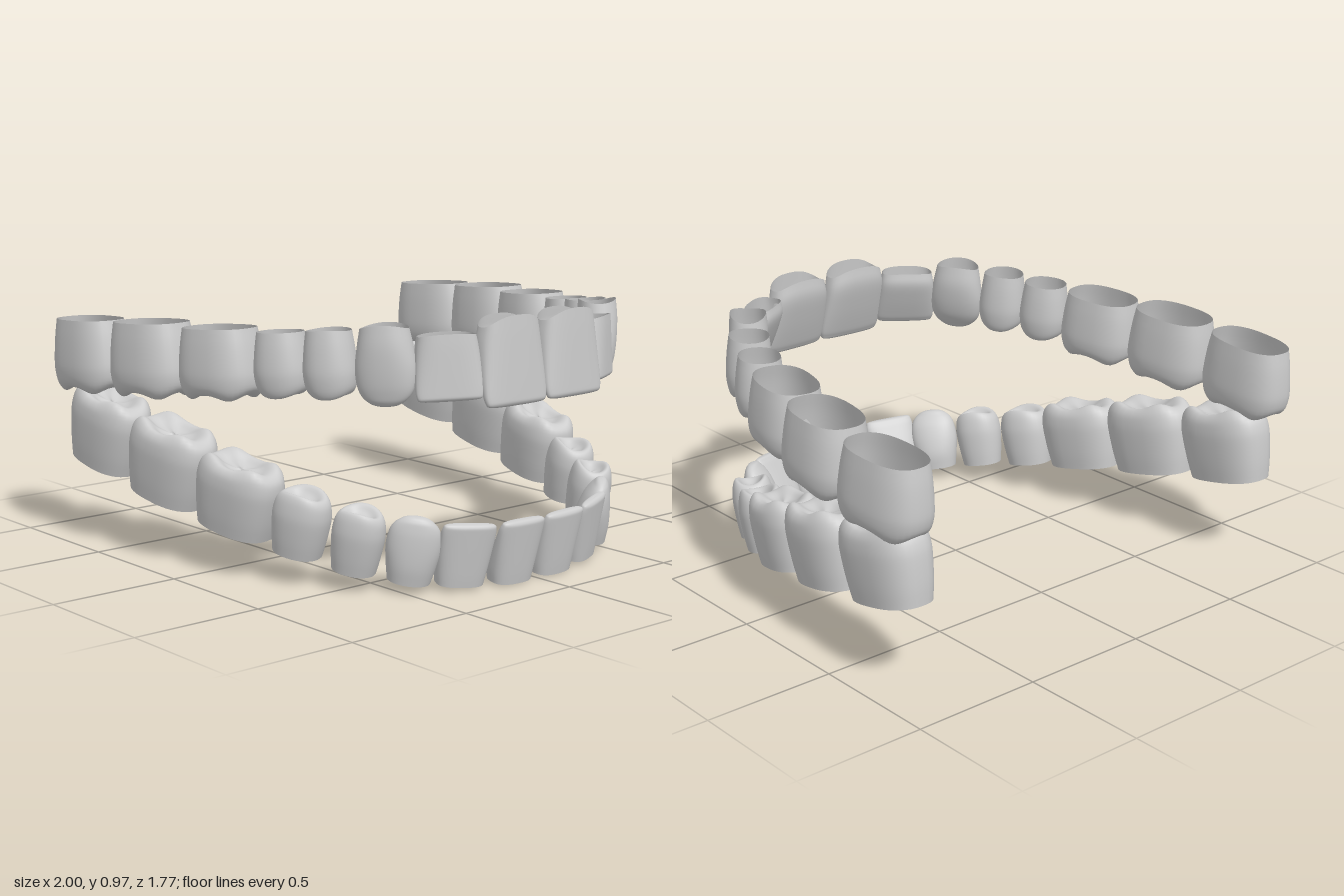
import * as THREE from 'three';

const material = new THREE.MeshStandardMaterial({ color: 0xcccccc, side: THREE.DoubleSide });
const SIDES = 36, RINGS = 30;

// Crown profiles from open root to biting surface: [width scale, depth scale, height]
const KINDS = {
  incisor: {
    lean: 0.9, power: 2.7, cusps: 0,
    rows: [[.86, .95, 0], [.93, 1, .2], [.98, .8, .5], [1, .55, .8], [.97, .42, .93], [.88, .28, .985], [.5, .12, 1], [0, 0, 1]],
  },
  canine: {
    lean: 0.35, power: 2.2, cusps: 0,
    rows: [[.8, .93, 0], [.92, 1, .25], [1, .9, .5], [.95, .72, .72], [.8, .52, .86], [.55, .34, .95], [.3, .2, .99], [0, 0, 1]],
  },
  premolar: {
    lean: 0, power: 2.2, cusps: 2,
    rows: [[.84, .87, 0], [.93, .95, .25], [1, 1, .55], [.98, .98, .72], [.9, .9, .87], [.76, .76, .96], [.6, .6, .96], [.4, .4, .89], [.2, .2, .85], [0, 0, .84]],
  },
  molar: {
    lean: 0, power: 2.5, cusps: 4,
    rows: [[.88, .88, 0], [.95, .95, .25], [1, 1, .55], [1, 1, .72], [.94, .94, .87], [.8, .8, .96], [.64, .64, .96], [.42, .42, .89], [.2, .2, .86], [0, 0, .85]],
  },
};

// Hollow tooth shell: x is its width, z points outward, dir is +1 (crown up) or -1 (crown down)
function toothGeometry(kind, width, depth, height, scallop, dir) {
  const { lean, power, cusps, rows } = KINDS[kind];
  const curve = new THREE.CatmullRomCurve3(rows.map(r => new THREE.Vector3(...r)), false, 'catmullrom', 0.5);
  const round = c => Math.sign(c) * Math.abs(c) ** (2 / power);
  const positions = [], index = [];
  for (let j = 0; j <= RINGS; j++) {
    const p = curve.getPoint(j / RINGS);
    const shift = lean * Math.min(1 - p.y, 0.6);
    const rim = Math.max(0, (p.z - 0.8) / 0.2);
    for (let i = 0; i < SIDES; i++) {
      const a = i / SIDES * Math.PI * 2;
      const margin = -scallop * Math.sin(a) ** 2 * (1 - p.z) ** 2;
      const cusp = cusps ? -0.045 * rim * Math.cos(cusps * a) : 0;
      positions.push(
        width / 2 * p.x * round(Math.cos(a)),
        dir * (height * (p.z + cusp) + margin),
        depth / 2 * (p.y * round(Math.sin(a)) + shift));
      if (j < RINGS) {
        const k = j * SIDES + i, n = j * SIDES + (i + 1) % SIDES;
        if (dir > 0) index.push(k, k + SIDES, n, n, k + SIDES, n + SIDES);
        else index.push(k, n, k + SIDES, n, n + SIDES, k + SIDES);
      }
    }
  }
  const g = new THREE.BufferGeometry();
  g.setAttribute('position', new THREE.Float32BufferAttribute(positions, 3));
  g.setIndex(index);
  g.computeVertexNormals();
  return g;
}

// name, kind, root centre x, y, z, outward angle in degrees, width, depth, height, root scallop
const UPPER = [
  ['CentralIncisor', 'incisor', .142, .93, .818, 2, .285, .12, .28, .037],
  ['LateralIncisor', 'incisor', .365, .905, .745, 30, .24, .115, .225, .008],
  ['Canine', 'canine', .528, .93, .61, 52, .215, .15, .27, .015],
  ['FirstPremolar', 'premolar', .64, .915, .445, 60, .19, .175, .235, .005],
  ['SecondPremolar', 'premolar', .715, .90, .27, 66, .2, .18, .23, 0],
  ['FirstMolar', 'molar', .785, .893, .005, 80, .33, .235, .255, 0],
  ['SecondMolar', 'molar', .855, .885, -.325, 85, .365, .245, .275, 0],
  ['ThirdMolar', 'molar', .885, .86, -.695, 93, .38, .225, .275, 0],
];
// The lower roots lie on one sloping plane
const plane = z => 0.2 * (0.845 - z);
const LOWER = [
  ['CentralIncisor', 'incisor', .102, plane(.795), .795, 3, .2, .11, .24, 0],
  ['LateralIncisor', 'incisor', .3, plane(.745), .745, 22, .205, .11, .235, 0],
  ['Canine', 'canine', .455, plane(.655), .655, 43, .195, .14, .245, 0],
  ['FirstPremolar', 'premolar', .585, plane(.51), .51, 56, .19, .165, .23, 0],
  ['SecondPremolar', 'premolar', .68, plane(.31), .31, 66, .215, .18, .235, 0],
  ['FirstMolar', 'molar', .757, plane(.045), .045, 79, .35, .225, .265, 0],
  ['SecondMolar', 'molar', .815, plane(-.295), -.295, 84, .38, .235, .285, 0],
  ['ThirdMolar', 'molar', .845, plane(-.665), -.665, 90, .38, .23, .285, 0],
];

// One arch of teeth, mirrored across x, tipped by its pitch
function buildArch(name, teeth, dir, pitch) {
  const arch = new THREE.Group();
  arch.name = name + 'Arch';
  for (const [label, kind, x, y, z, angle, width, depth, height, scallop] of teeth) {
    const geometry = toothGeometry(kind, width, depth, height, scallop, dir);
    for (const side of [1, -1]) {
      const tooth = new THREE.Mesh(geometry, material);
      tooth.name = name + (side > 0 ? 'Left' : 'Right') + label;
      tooth.position.set(side * x, y, z);
      tooth.rotation.set(pitch, side * THREE.MathUtils.degToRad(angle), 0);
      arch.add(tooth);
    }
  }
  return arch;
}

export function createModel() {
  const model = new THREE.Group();
  model.name = 'teeth';
  model.add(buildArch('upper', UPPER, -1, -0.06));
  model.add(buildArch('lower', LOWER, 1, 0.2));
  return model;
}
